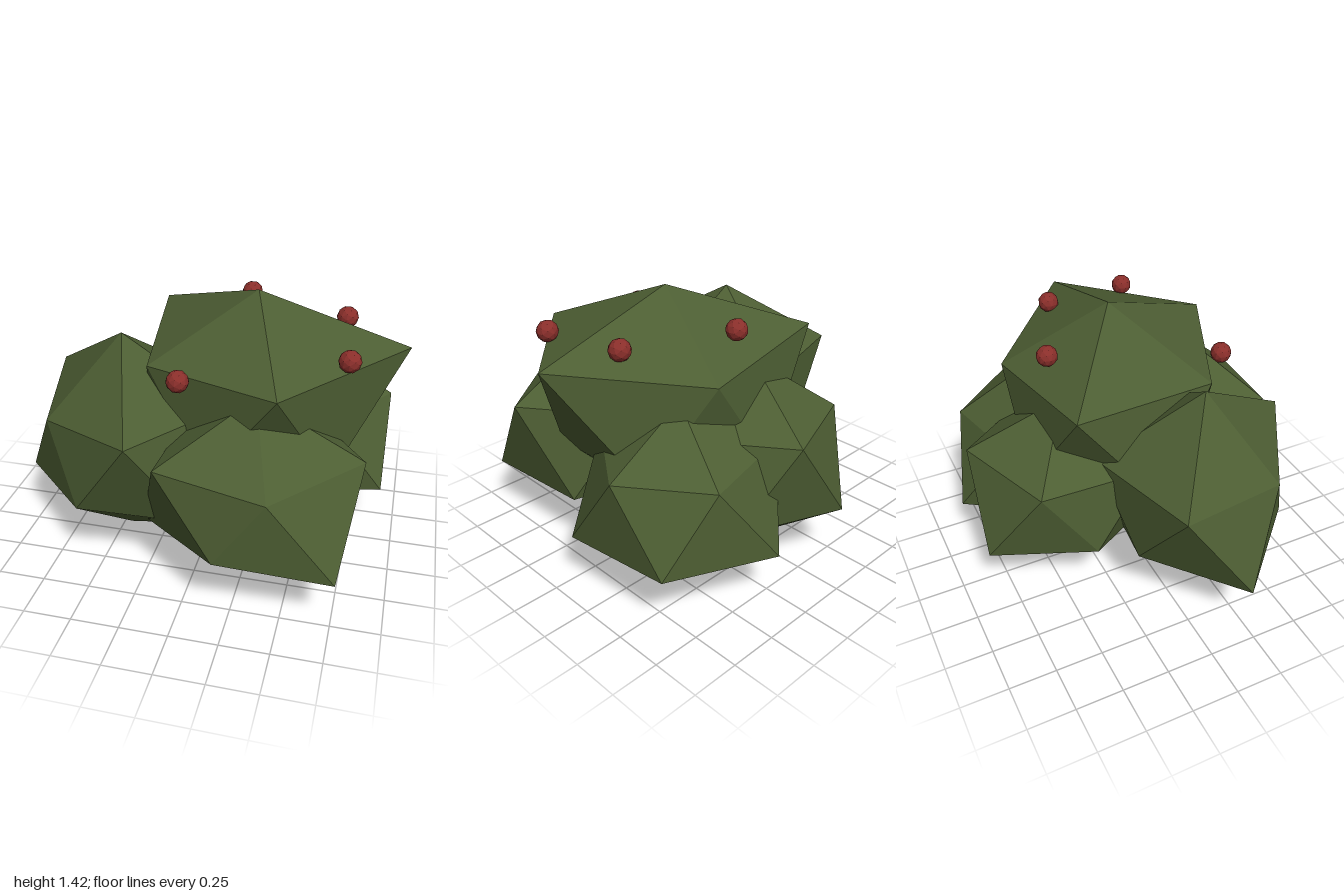
import * as THREE from 'three';

// Irregular 20-sided clump: poles plus two five-point rings, each point pushed in or out radially.
// upper ring angles: 0, 72, 144...; lower ring angles: 36, 108, 180...
function clumpGeometry(up, down, upper, lower) {
  const squash = 0.45;
  const ring = (radii, offset, sign) => radii.map((r, i) => {
    const a = THREE.MathUtils.degToRad(72 * i + offset);
    return [r * Math.cos(a), sign * squash * r, r * Math.sin(a)];
  });
  const U = ring(upper, 0, 1), L = ring(lower, 36, -1);
  const top = [0, up, 0], bottom = [0, -down, 0];
  const pos = [];
  for (let i = 0; i < 5; i++) {
    const n = (i + 1) % 5;
    pos.push(...top, ...U[n], ...U[i]);
    pos.push(...U[i], ...U[n], ...L[i]);
    pos.push(...L[i], ...U[n], ...L[n]);
    pos.push(...bottom, ...L[i], ...L[n]);
  }
  const g = new THREE.BufferGeometry();
  g.setAttribute('position', new THREE.Float32BufferAttribute(pos, 3));
  g.computeVertexNormals();
  return g;
}

export function createModel() {
  const leaf = new THREE.MeshStandardMaterial({ color: 0x4d5e33, flatShading: true });
  leaf.name = 'leaf green';
  const red = new THREE.MeshStandardMaterial({ color: 0x8b2f2b, flatShading: true });
  red.name = 'berry red';

  const model = new THREE.Group();
  model.name = 'berryBush';

  // Foliage clumps
  const clumps = [
    { name: 'topFoliage', at: [0.22, 0.84, 0], up: 0.58, down: 0.72,
      upper: [0.77, 0.69, 0.6, 0.74, 0.57], lower: [0.55, 0.52, 0.6, 0.57, 0.55] },
    { name: 'rightFoliage', at: [-0.44, 0.605, 0.21], up: 0.605, down: 0.565,
      upper: [0.55, 0.588, 0.42, 0.58, 0.537], lower: [0.57, 0.45, 0.56, 0.44, 0.57] },
    { name: 'frontFoliage', at: [0.31, 0.555, 0.48], up: 0.52, down: 0.495,
      upper: [0.53, 0.4, 0.53, 0.5, 0.52], lower: [0.56, 0.41, 0.58, 0.5, 0.52] },
    { name: 'backLeftFoliage', at: [0.48, 0.54, -0.37], up: 0.46, down: 0.41,
      upper: [0.435, 0.45, 0.45, 0.47, 0.4], lower: [0.54, 0.5, 0.5, 0.53, 0.48] },
    { name: 'backRightFoliage', at: [-0.01, 0.575, -0.37], up: 0.5, down: 0.575,
      upper: [0.5, 0.5, 0.5, 0.45, 0.5], lower: [0.5, 0.49, 0.425, 0.53, 0.5] },
  ];
  for (const c of clumps) {
    const mesh = new THREE.Mesh(clumpGeometry(c.up, c.down, c.upper, c.lower), leaf);
    mesh.name = c.name;
    mesh.position.set(...c.at);
    model.add(mesh);
  }

  // Berries
  const berryGeometry = new THREE.IcosahedronGeometry(0.056, 1);
  const berries = [
    [0.115, 1.26, -0.385], [0.655, 1.25, -0.165], [0.715, 1.225, 0.31], [-0.06, 1.135, 0.525],
  ];
  berries.forEach((p, i) => {
    const berry = new THREE.Mesh(berryGeometry, red);
    berry.name = 'berry' + (i + 1);
    berry.position.set(...p);
    model.add(berry);
  });

  return model;
}
